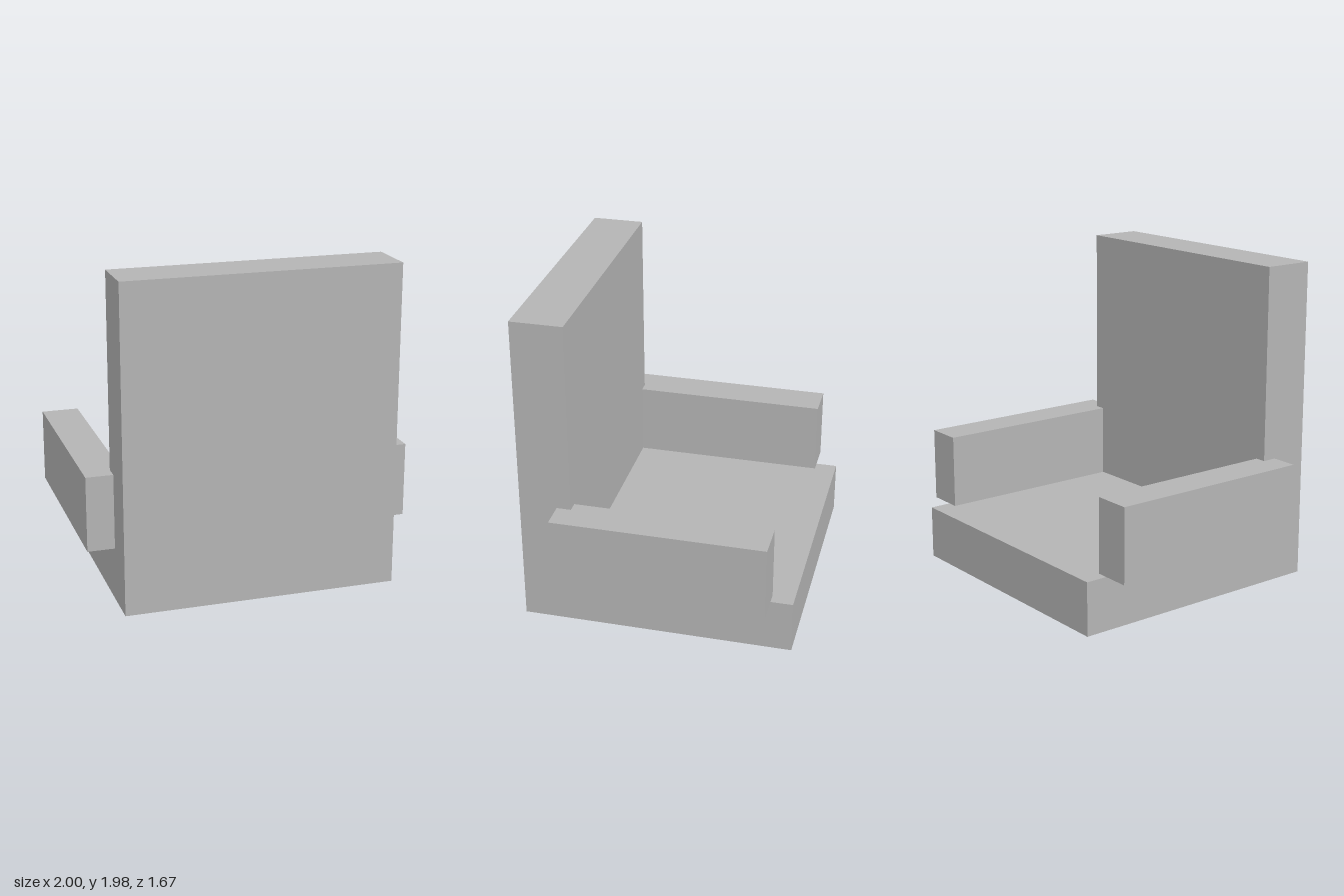
import * as THREE from 'three';

export function createModel() {
  const model = new THREE.Group();
  model.name = 'armchair';

  const grey = new THREE.MeshStandardMaterial({ color: 0xb4b4b4 });
  grey.name = 'plain grey';

  // Box given by its lower and upper corners
  function block(name, [x0, y0, z0], [x1, y1, z1]) {
    const mesh = new THREE.Mesh(new THREE.BoxGeometry(x1 - x0, y1 - y0, z1 - z0), grey);
    mesh.position.set((x0 + x1) / 2, (y0 + y1) / 2, (z0 + z1) / 2);
    mesh.name = name;
    model.add(mesh);
  }

  const half = 0.835, seatTop = 0.33;

  // Seat slab and the backrest standing on its +z edge
  block('seat', [-half, 0, -half], [half, seatTop, half]);
  block('backrest', [-half, seatTop, 0.515], [half, 1.98, half]);

  // Armrests overhang the seat sides and run slightly into the backrest
  block('leftArmrest', [0.768, seatTop, -0.7], [1, 0.79, 0.603]);
  block('rightArmrest', [-1, seatTop, -0.7], [-0.768, 0.79, 0.603]);

  return model;
}
